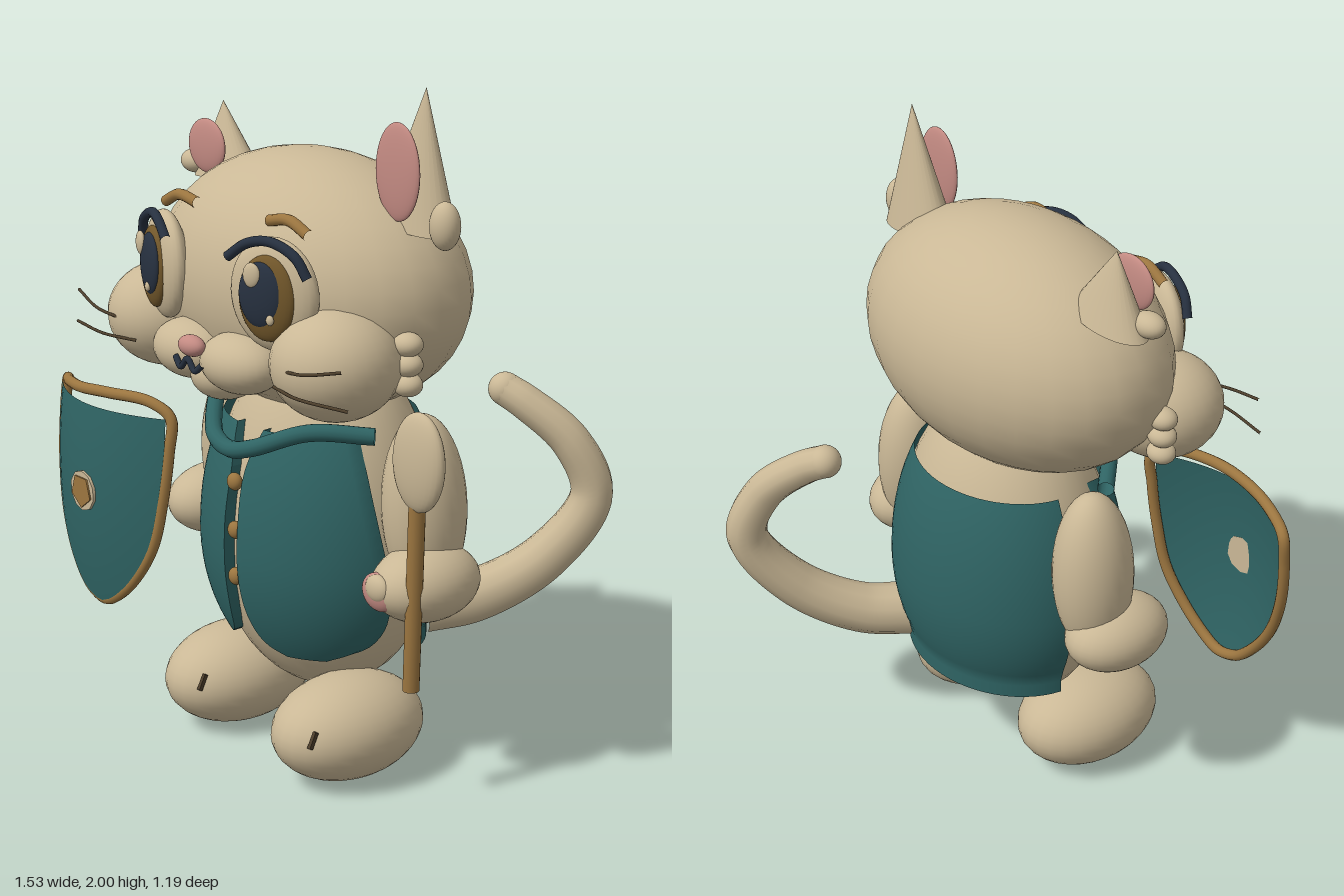
import * as THREE from 'three';
import { ParametricGeometry } from 'three/addons/geometries/ParametricGeometry.js';

const mat = (name, color, side = THREE.FrontSide) => {
  const m = new THREE.MeshStandardMaterial({ color, side });
  m.name = name;
  return m;
};
const V = (p) => new THREE.Vector3(...p);
const MID = 0.063; // symmetry plane of the figure

export function createModel() {
  const model = new THREE.Group();
  const fur = mat('fur', 0xcab896);
  const cloth = mat('teal cloth', 0x2f6464, THREE.DoubleSide);
  const gold = mat('gold', 0x9c7640);
  const iris = mat('iris brown', 0x73582b);
  const navy = mat('navy', 0x273140);
  const pink = mat('pink', 0xc48b83);
  const dark = mat('dark brown', 0x4c3e2b);

  const add = (name, geo, m, pos = [0, 0, 0], parent = model) => {
    const mesh = new THREE.Mesh(geo, m);
    mesh.name = name;
    mesh.position.set(...pos);
    parent.add(mesh);
    return mesh;
  };
  const ball = (name, m, pos, r, parent = model) => {
    const mesh = add(name, new THREE.SphereGeometry(1, 28, 20), m, pos, parent);
    mesh.scale.set(...r);
    return mesh;
  };
  // round tube through points, tapering from r0 to r1
  const tube = (name, m, pts, r0, r1 = r0, parent = model, closed = false) => {
    const curve = new THREE.CatmullRomCurve3(pts.map(V), closed);
    const n = pts.length * 8, sides = 12;
    const geo = new THREE.TubeGeometry(curve, n, r0, sides, closed);
    const p = geo.attributes.position, v = new THREE.Vector3();
    if (r1 !== r0) {
      for (let i = 0; i < p.count; i++) {
        const t = Math.floor(i / (sides + 1)) / n, c = curve.getPointAt(t);
        v.fromBufferAttribute(p, i).sub(c).multiplyScalar(1 + t * (r1 / r0 - 1)).add(c);
        p.setXYZ(i, v.x, v.y, v.z);
      }
    }
    return add(name, geo, m, [0, 0, 0], parent);
  };

  // body: egg profile shared with the vest
  const bodyR = (y) => {
    const t = (y - 0.65) / (y < 0.65 ? 0.47 : 0.6);
    return Math.sqrt(Math.max(0, 1 - t * t));
  };
  const profile = [];
  for (let i = 0; i <= 24; i++) {
    const a = -Math.PI / 2 + (Math.PI * i) / 24, s = Math.sin(a);
    profile.push(new THREE.Vector2(Math.max(0, Math.cos(a)), 0.65 + s * (s < 0 ? 0.47 : 0.6)));
  }
  add('body', new THREE.LatheGeometry(profile, 32), fur, [MID, 0, 0.1]).scale.set(0.37, 1, 0.31);

  // vest back
  add('vestBack', new ParametricGeometry((u, v, out) => {
    const a = (u - 0.5) * 2 * 1.4, y = 0.35 + 0.68 * v;
    const r = y < 0.65 ? Math.max(bodyR(y), 0.86) : bodyR(y);
    out.set(MID - Math.sin(a) * r * 0.39, y, 0.1 - Math.cos(a) * r * 0.325);
  }, 28, 16), cloth);

  // vest front panels: rows of y, inner edge, outer edge
  const panelRows = new THREE.CatmullRomCurve3([
    [1.02, 0.06, 0.27], [0.9, 0.03, 0.32], [0.75, 0.03, 0.36], [0.6, 0.03, 0.375],
    [0.47, 0.04, 0.35], [0.39, 0.07, 0.3], [0.35, 0.13, 0.23]].map(V));
  for (const s of [-1, 1]) {
    add('vestPanel', new ParametricGeometry((u, v, out) => {
      const row = panelRows.getPoint(v);
      const k = Math.min(1, Math.max(0, (u * 16 - 1) / 14));
      const x = row.y + (row.z - row.y) * k;
      const edge = u < 0.01 || u > 0.99 ? 0.05 : 0;
      const d = Math.sqrt(Math.max(0, bodyR(row.x) ** 2 - (x / 0.4) ** 2));
      out.set(MID + s * x, row.x, 0.1 + 0.345 * d - edge);
    }, 16, 24), cloth);
  }
  for (const y of [0.865, 0.72, 0.58]) ball('button', gold, [MID, y, 0.425], [0.026, 0.026, 0.02]);
  tube('collar', cloth, [[-0.28, 1.03, 0.2], [-0.15, 1.05, 0.33], [-0.02, 0.985, 0.43], [0.06, 0.965, 0.44],
    [0.15, 0.985, 0.43], [0.28, 1.04, 0.33], [0.41, 1.035, 0.2]], 0.025);

  // head and face
  ball('head', fur, [MID, 1.42, 0.145], [0.55, 0.37, 0.368]);
  ball('chin', fur, [MID, 1.19, 0.45], [0.1, 0.075, 0.1]);
  ball('nose', pink, [MID, 1.285, 0.565], [0.05, 0.03, 0.03]);
  tube('mouth', navy, [[0, 1.245, 0.575], [0.03, 1.222, 0.58], [MID, 1.25, 0.58],
    [0.096, 1.222, 0.58], [0.126, 1.245, 0.575]], 0.009);

  for (const s of [-1, 1]) {
    const X = (d) => MID + s * d;
    ball('cheek', fur, [X(0.385), 1.28, 0.37], [0.18, 0.155, 0.18]);
    ball('muzzle', fur, [X(0.112), 1.245, 0.48], [0.138, 0.085, 0.1]);
    [1.34, 1.285, 1.23].forEach((y) => ball('cheekTuft', fur, [X(0.525), y, 0.24], [0.045, 0.033, 0.04]));
    tube('whisker', dark, [[X(0.32), 1.23, 0.53], [X(0.45), 1.23, 0.555], [X(0.63), 1.23, 0.53]], 0.0045);
    tube('whisker', dark, [[X(0.37), 1.285, 0.54], [X(0.48), 1.3, 0.555], [X(0.61), 1.33, 0.535]], 0.0045);
    tube('eyebrow', gold, [[X(0.325), 1.622, 0.415], [X(0.25), 1.652, 0.42], [X(0.165), 1.64, 0.42]], 0.016);

    // eye, turned outwards
    const eye = new THREE.Group();
    eye.name = 'eye';
    eye.position.set(X(0.25), 1.46, 0.47);
    eye.rotation.y = s * 0.3;
    model.add(eye);
    ball('eyeball', fur, [0, 0, 0], [0.14, 0.155, 0.05], eye);
    ball('iris', iris, [0, -0.005, 0.035], [0.09, 0.117, 0.03], eye);
    ball('pupil', navy, [-s * 0.01, 0.005, 0.05], [0.07, 0.09, 0.022], eye);
    ball('eyeHighlight', fur, [-0.028, 0.06, 0.066], [0.027, 0.034, 0.012], eye);
    ball('eyeHighlight', fur, [0.03, -0.055, 0.066], [0.012, 0.014, 0.008], eye);
    tube('upperLash', navy, [[s * 0.125, 0.06, 0.03], [s * 0.09, 0.115, 0.035], [s * 0.01, 0.148, 0.035],
      [-s * 0.06, 0.138, 0.04], [-s * 0.125, 0.095, 0.04]], 0.014, 0.014, eye);

    // upper arm, forearm and foot
    ball('upperArm', fur, [X(0.425), 0.83, 0.085], [0.115, 0.265, 0.125]).rotation.z = s * 0.06;
    ball('forearm', fur, [X(0.485), 0.635, 0.13], [0.13, 0.11, 0.17]);
    ball('foot', fur, [X(0.262), 0.155, 0.225], [0.18, 0.152, 0.245]);
  }
  for (const x of [-0.105, 0.42]) {
    add('toeMark', new THREE.BoxGeometry(0.012, 0.05, 0.012), dark, [x, 0.195, 0.43]).rotation.x = -0.45;
  }

  // ears: the model's left one upright, the right one shorter
  const ear = (base, h, lean, inner, innerR, tuft, tuftR) => {
    const cone = add('ear', new THREE.ConeGeometry(0.14, h, 28), fur, [base[0] + Math.sin(lean) * h / 2, base[1] + h / 2, 0.115]);
    cone.scale.z = 0.53;
    cone.rotation.z = -lean;
    ball('innerEar', pink, inner, innerR);
    ball('earTuft', fur, tuft, tuftR);
  };
  ear([0.48, 1.62], 0.38, 0.08, [0.488, 1.78, 0.193], [0.087, 0.132, 0.018], [0.623, 1.65, 0.145], [0.045, 0.065, 0.04]);
  ear([-0.365, 1.65], 0.22, -0.1, [-0.365, 1.745, 0.193], [0.088, 0.08, 0.018], [-0.49, 1.68, 0.145], [0.053, 0.036, 0.04]);

  // paw pad and staff in the left hand
  ball('pawPad', pink, [0.52, 0.63, 0.275], [0.065, 0.055, 0.03]);
  ball('pawPadCentre', fur, [0.528, 0.645, 0.287], [0.045, 0.04, 0.025]);
  tube('staffHandle', gold, [[0.61, 0.36, 0.235], [0.625, 0.65, 0.24], [0.64, 0.95, 0.245]], 0.024);
  add('staffEnd', new THREE.CylinderGeometry(0.024, 0.024, 0.01, 12), gold, [0.61, 0.363, 0.235]);
  ball('staffHead', fur, [0.652, 1.03, 0.253], [0.098, 0.14, 0.036]).rotation.z = -0.06;

  // curved shield: rows of y, left edge, right edge
  const shieldRows = [[1.0, -0.75, -0.19], [0.9, -0.755, -0.187], [0.75, -0.735, -0.2], [0.6, -0.68, -0.235],
    [0.48, -0.6, -0.31], [0.41, -0.53, -0.39], [0.387, -0.47, -0.44]];
  const shieldCurve = new THREE.CatmullRomCurve3(shieldRows.map(V));
  const shieldZ = (x, y) => 0.588 - 0.09 * ((x + 0.465) / 0.285) ** 2 - 0.03 * ((y - 0.72) / 0.33) ** 2;
  add('shield', new ParametricGeometry((u, v, out) => {
    const row = shieldCurve.getPoint(1 - v), x = row.y + (row.z - row.y) * u;
    out.set(x, row.x, shieldZ(x, row.x));
  }, 20, 24), cloth);
  const rimPoint = (x, y) => [x, y, shieldZ(x, y) - 0.018];
  tube('shieldRim', gold, [
    ...shieldRows.map(([y, l]) => rimPoint(l, y)),
    ...shieldRows.slice().reverse().map(([y, , r]) => rimPoint(r, y)),
    rimPoint(-0.25, 1.04), rimPoint(-0.4, 1.045), rimPoint(-0.55, 1.03), rimPoint(-0.68, 1.015)], 0.017, 0.017, model, true);
  add('emblemPlate', new THREE.CylinderGeometry(0.062, 0.062, 0.009, 10), fur, [-0.475, 0.735, 0.59]).rotation.x = Math.PI / 2;
  add('emblem', new THREE.CylinderGeometry(0.052, 0.052, 0.009, 5), gold, [-0.475, 0.735, 0.595]).rotation.x = Math.PI / 2;

  // tail
  tube('tail', fur, [[0.28, 0.43, -0.1], [0.36, 0.45, -0.24], [0.47, 0.56, -0.41], [0.545, 0.75, -0.525],
    [0.5, 0.91, -0.48], [0.39, 1.02, -0.4], [0.33, 1.055, -0.37]], 0.085, 0.05);
  ball('tailTip', fur, [0.33, 1.055, -0.37], [0.05, 0.05, 0.05]);

  return model;
}
